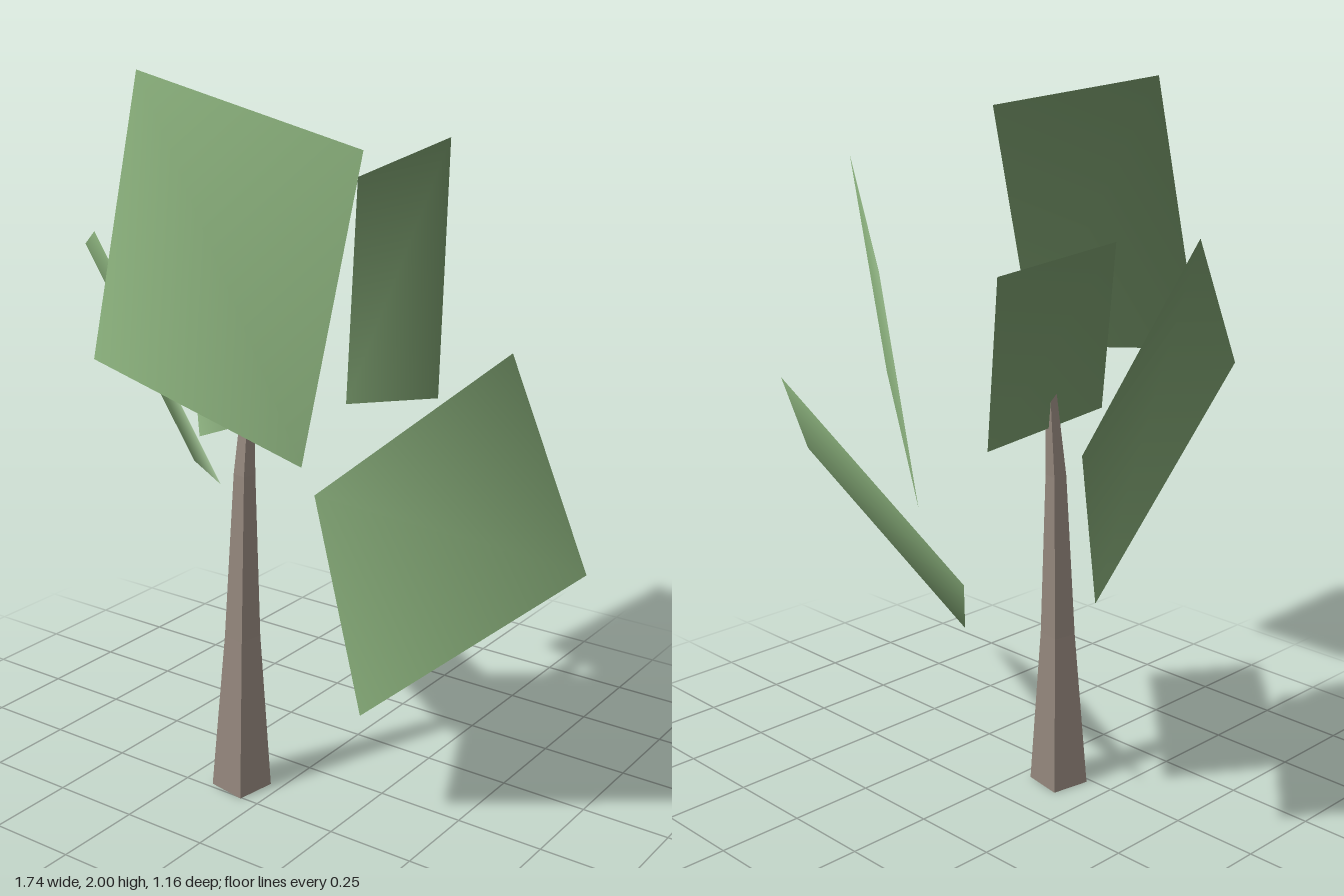
import * as THREE from 'three';

const leafGreen = new THREE.MeshStandardMaterial({ color: 0x7da070, side: THREE.DoubleSide });
leafGreen.name = 'leafGreen';
const barkBrown = new THREE.MeshStandardMaterial({ color: 0x92857b, side: THREE.DoubleSide });
barkBrown.name = 'barkBrown';

// Leaf normals fan out from this point inside the crown for soft foliage shading
const CROWN = new THREE.Vector3(-0.09, 0.8, 0.18);

// Flat leaf card from three corners; the fourth completes the parallelogram
function leafCard(name, a, b, d) {
  const A = new THREE.Vector3(...a), B = new THREE.Vector3(...b), D = new THREE.Vector3(...d);
  const C = B.clone().add(D).sub(A);
  const corners = [A, B, C, D];
  const face = B.clone().sub(A).cross(D.clone().sub(A));
  const middle = A.clone().add(C).multiplyScalar(0.5).sub(CROWN);
  const geometry = new THREE.BufferGeometry().setFromPoints(corners);
  const normals = corners.flatMap((p) => p.clone().sub(CROWN).normalize().toArray());
  geometry.setAttribute('normal', new THREE.Float32BufferAttribute(normals, 3));
  // Wind the card so its front looks away from the crown centre
  geometry.setIndex(face.dot(middle) > 0 ? [0, 1, 2, 0, 2, 3] : [0, 2, 1, 0, 3, 2]);
  const mesh = new THREE.Mesh(geometry, leafGreen);
  mesh.name = name;
  return mesh;
}

// Four-sided open trunk, lofted through rings of [x, y, z, size]
function trunk() {
  const rings = [
    [-0.1025, 0, 0.1875, 1],
    [-0.095, 0.46, 0.184, 0.59],
    [-0.086, 0.93, 0.178, 0.35],
    [-0.08, 1.29, 0.15, 0.09],
  ];
  const base = [[-0.0675, 0.0475], [0.0475, 0.0675], [0.0675, -0.0475], [-0.0475, -0.0675]];
  const points = rings.flatMap(([x, y, z, s]) =>
    base.map(([bx, bz]) => new THREE.Vector3(x + bx * s, y, z + bz * s)));
  const index = [];
  for (let r = 0; r < rings.length - 1; r++) {
    for (let i = 0; i < 4; i++) {
      const a = r * 4 + i, b = r * 4 + (i + 1) % 4;
      index.push(a, b, b + 4, a, b + 4, a + 4);
    }
  }
  const top = (rings.length - 1) * 4;
  index.push(top, top + 1, top + 2, top, top + 2, top + 3);
  const indexed = new THREE.BufferGeometry().setFromPoints(points);
  indexed.setIndex(index);
  const geometry = indexed.toNonIndexed();
  geometry.computeVertexNormals();
  const mesh = new THREE.Mesh(geometry, barkBrown);
  mesh.name = 'trunk';
  return mesh;
}

export function createModel() {
  const tree = new THREE.Group();
  tree.name = 'tree';
  tree.add(
    trunk(),
    leafCard('frontLeaf', [-0.196, 2.0, 0.437], [0.522, 1.875, 0.53], [-0.325, 1.276, 0.486]),
    leafCard('rightLeaf', [-0.366, 1.59, 0.423], [-0.053, 0.947, 0.32], [-0.868, 1.425, -0.072]),
    leafCard('leftLeaf', [-0.153, 0.735, -0.237], [0.405, 1.218, -0.382], [0.312, 0.346, 0.208]),
    leafCard('backLeaf', [0.29, 1.808, -0.22], [-0.243, 1.614, -0.583], [0.39, 1.174, -0.02]),
    leafCard('middleLeaf', [-0.152, 1.566, 0.333], [-0.152, 1.529, -0.116], [-0.08, 1.085, 0.369]),
  );
  return tree;
}
